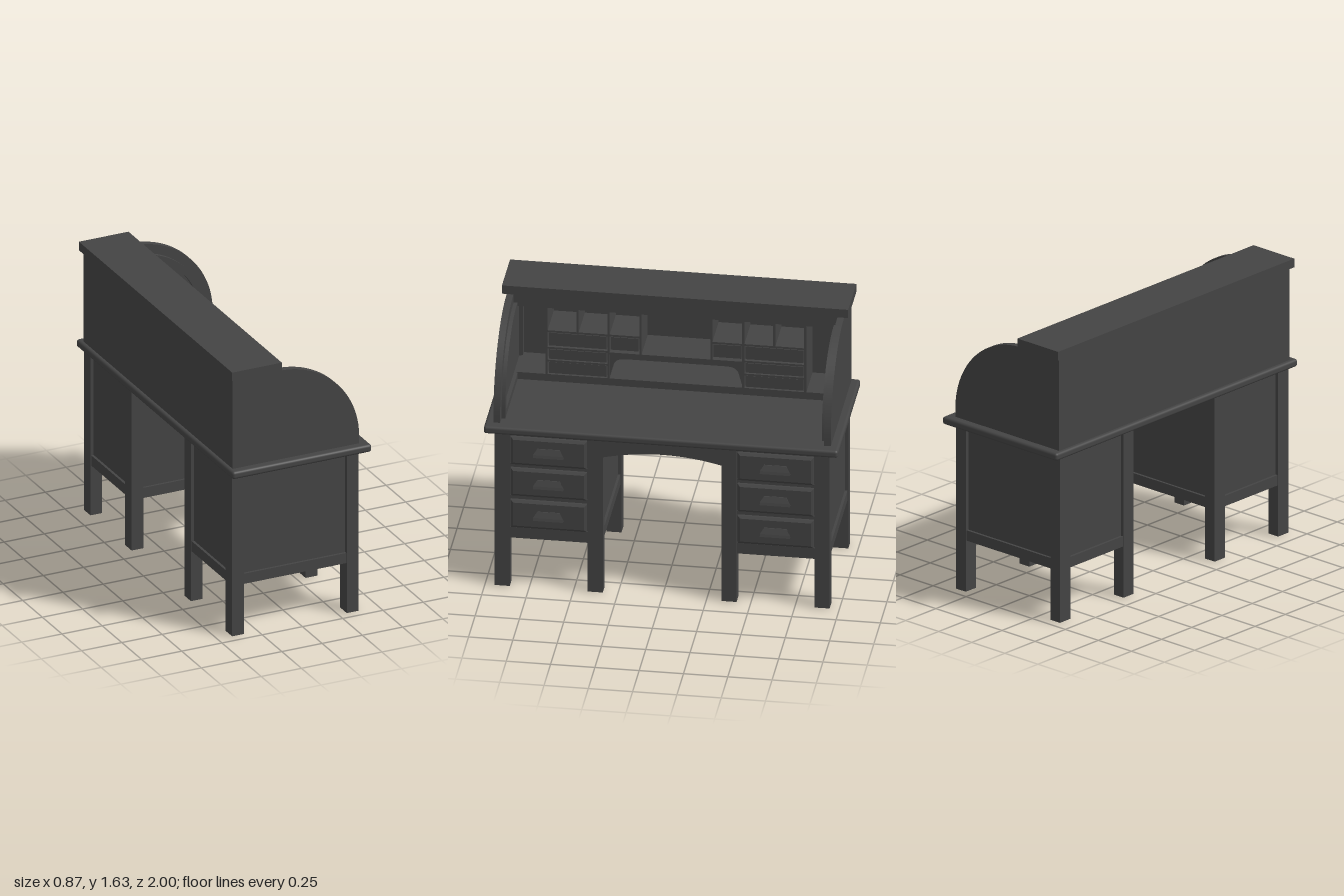
import * as THREE from 'three';
import { RoundedBoxGeometry } from 'three/addons/geometries/RoundedBoxGeometry.js';

export function createModel() {
  const desk = new THREE.Group();
  desk.name = 'rollTopDesk';
  const wood = new THREE.MeshStandardMaterial({ color: 0x444444 });

  const add = (name, geometry, parent = desk) => {
    const mesh = new THREE.Mesh(geometry, wood);
    mesh.name = name;
    parent.add(mesh);
    return mesh;
  };
  // Box given by its limits on each axis
  const box = (name, x0, x1, y0, y1, z0, z1, parent) => {
    const g = new THREE.BoxGeometry(x1 - x0, y1 - y0, Math.abs(z1 - z0));
    g.translate((x0 + x1) / 2, (y0 + y1) / 2, (z0 + z1) / 2);
    return add(name, g, parent);
  };
  // Outline in (-z, y), extruded towards +x from x0
  const facing = (shape, x0, depth, options = {}) => {
    const g = new THREE.ExtrudeGeometry(shape, { depth, bevelEnabled: false, curveSegments: 24, ...options });
    return g.rotateY(Math.PI / 2).translate(x0, 0, 0);
  };
  const rect = (w, h) => new THREE.Shape([[-w, -h], [w, -h], [w, h], [-w, h]].map(([x, y]) => new THREE.Vector2(x / 2, y / 2)));

  // Cup pull: wedge profile, narrowed towards its top
  const pullShape = new THREE.Shape();
  pullShape.moveTo(0, -0.025).lineTo(0.022, -0.025).lineTo(0.018, -0.008).lineTo(0.005, 0.025).lineTo(0, 0.025);
  const pullGeometry = new THREE.ExtrudeGeometry(pullShape, { depth: 0.17, bevelEnabled: false });
  pullGeometry.translate(0, 0, -0.085);
  const p = pullGeometry.attributes.position;
  for (let i = 0; i < p.count; i++) p.setZ(i, p.getZ(i) * (p.getY(i) > 0 ? 0.74 : 1));
  pullGeometry.computeVertexNormals();

  // Drawer front with a chamfered edge
  const drawerGeometry = facing(rect(0.40, 0.145), 0.362, 0.012, {
    bevelEnabled: true, bevelThickness: 0.01, bevelSize: 0.015, bevelSegments: 1,
  });

  // Pedestals
  for (const s of [1, -1]) {
    const ped = new THREE.Group();
    ped.name = s > 0 ? 'leftPedestal' : 'rightPedestal';
    desk.add(ped);
    for (const [x0, x1] of [[-0.41, -0.337], [0.302, 0.375]])
      for (const z of [0.3775, 0.9025])
        box('leg', x0, x1, 0, 0.99, s * (z - 0.0425), s * (z + 0.0425), ped);
    box('carcass', -0.39, 0.355, 0.335, 0.99, s * 0.355, s * 0.925, ped);
    box('outerBottomRail', -0.34, 0.305, 0.305, 0.367, s * 0.91, s * 0.94, ped);
    box('innerBottomRail', -0.34, 0.305, 0.305, 0.367, s * 0.341, s * 0.371, ped);
    box('backBottomRail', -0.405, -0.375, 0.305, 0.367, s * 0.41, s * 0.87, ped);
    box('frontBottomRail', 0.335, 0.368, 0.305, 0.372, s * 0.41, s * 0.87, ped);
    for (const y of [0.862, 0.664, 0.463]) {
      add('drawerFront', drawerGeometry, ped).position.set(0, y, s * 0.64);
      add('drawerPull', pullGeometry, ped).position.set(0.383, y + 0.002, s * 0.64);
      box('drawerRail', 0.34, 0.364, y + 0.09, y + 0.11, s * 0.41, s * 0.87, ped);
    }
  }

  // Arched apron over the kneehole
  const apron = new THREE.Shape();
  apron.moveTo(-0.345, 0.99).lineTo(-0.345, 0.85).quadraticCurveTo(0, 0.94, 0.345, 0.85).lineTo(0.345, 0.99);
  add('kneeholeApron', facing(apron, 0.335, 0.03));

  // Table top with softened edges
  add('tableTop', new RoundedBoxGeometry(0.866, 0.046, 2, 3, 0.016)).position.set(0, 1.008, 0);

  // Curved ends: outer panel plus inner track frame
  const CX = -0.12, CY = 1.08;
  const end = new THREE.Shape();
  end.moveTo(-0.41, 1.03).lineTo(0.375, 1.03).lineTo(0.375, CY)
    .absarc(CX, CY, 0.495, 0, Math.PI / 2).lineTo(-0.41, 1.575);
  const track = new THREE.Shape();
  track.moveTo(-0.39, 1.03).lineTo(0.32, 1.03).lineTo(0.32, CY)
    .absarc(CX, CY, 0.44, 0, Math.PI / 2).lineTo(-0.39, 1.52);
  const opening = new THREE.Path();
  opening.moveTo(-0.35, 1.07).lineTo(0.285, 1.07).lineTo(0.285, CY)
    .absarc(CX, CY, 0.405, 0, Math.PI / 2).lineTo(-0.35, 1.485);
  track.holes.push(opening);
  const slab = (shape, depth) => new THREE.ExtrudeGeometry(shape, { depth, bevelEnabled: false, curveSegments: 28 });
  for (const s of [1, -1]) {
    add('curvedEndPanel', slab(end, 0.038)).position.z = s > 0 ? 0.914 : -0.952;
    add('rollTrack', slab(track, 0.022)).position.z = s > 0 ? 0.893 : -0.915;
  }

  // Back, cap and the rail below it
  box('upperBack', -0.41, -0.385, 1.03, 1.585, -0.915, 0.915);
  box('topCap', -0.425, -0.117, 1.583, 1.635, -0.977, 0.977);
  box('rollRail', -0.17, -0.13, 1.525, 1.585, -0.914, 0.914);

  // Pigeonhole unit
  const unit = new THREE.Group();
  unit.name = 'pigeonholes';
  desk.add(unit);
  const B = -0.39, F = -0.15, T = 0.006;
  box('unitTop', B, F + 0.01, 1.5, 1.526, -0.9, 0.9, unit);
  box('unitBase', B, F, 1.03, 1.075, -0.9, 0.9, unit);
  box('centreShelf', B, F, 1.226, 1.24, -0.38, 0.38, unit);

  // Scrolled bracket below the centre shelf
  const bracket = new THREE.Shape();
  bracket.moveTo(-0.378, 1.075).lineTo(-0.37, 1.1).lineTo(-0.352, 1.165)
    .quadraticCurveTo(-0.34, 1.197, -0.3, 1.2).lineTo(-0.225, 1.208)
    .lineTo(-0.197, 1.23).lineTo(-0.378, 1.23);
  const bracketGeometry = facing(bracket, F - 0.02, 0.016);

  for (const s of [1, -1]) {
    const wall = (z, y0) => box('divider', B, F, y0, 1.5, s * (z - T), s * (z + T), unit);
    const shelf = (y, z0, z1) => box('shelf', B, F, y - T, y + T, s * z0, s * z1, unit);
    const drawer = (y0, y1, z0, z1) => box('smallDrawer', B, F - 0.006, y0, y1, s * z0, s * z1, unit);
    wall(0.73, 1.07);
    wall(0.555, 1.347);
    wall(0.38, 1.07);
    wall(0.2, 1.23);
    shelf(1.347, 0.2, 0.73);
    shelf(1.242, 0.38, 0.73);
    shelf(1.16, 0.38, 0.73);
    drawer(1.255, 1.335, 0.392, 0.718);
    drawer(1.255, 1.335, 0.212, 0.368);
    drawer(1.17, 1.23, 0.392, 0.718);
    drawer(1.08, 1.15, 0.392, 0.718);
    const b = add('bracket', bracketGeometry, unit);
    if (s < 0) {
      // Half turn about the vertical axis through the bracket
      b.rotation.y = Math.PI;
      b.position.x = 2 * (F - 0.012);
    }
  }
  return desk;
}
